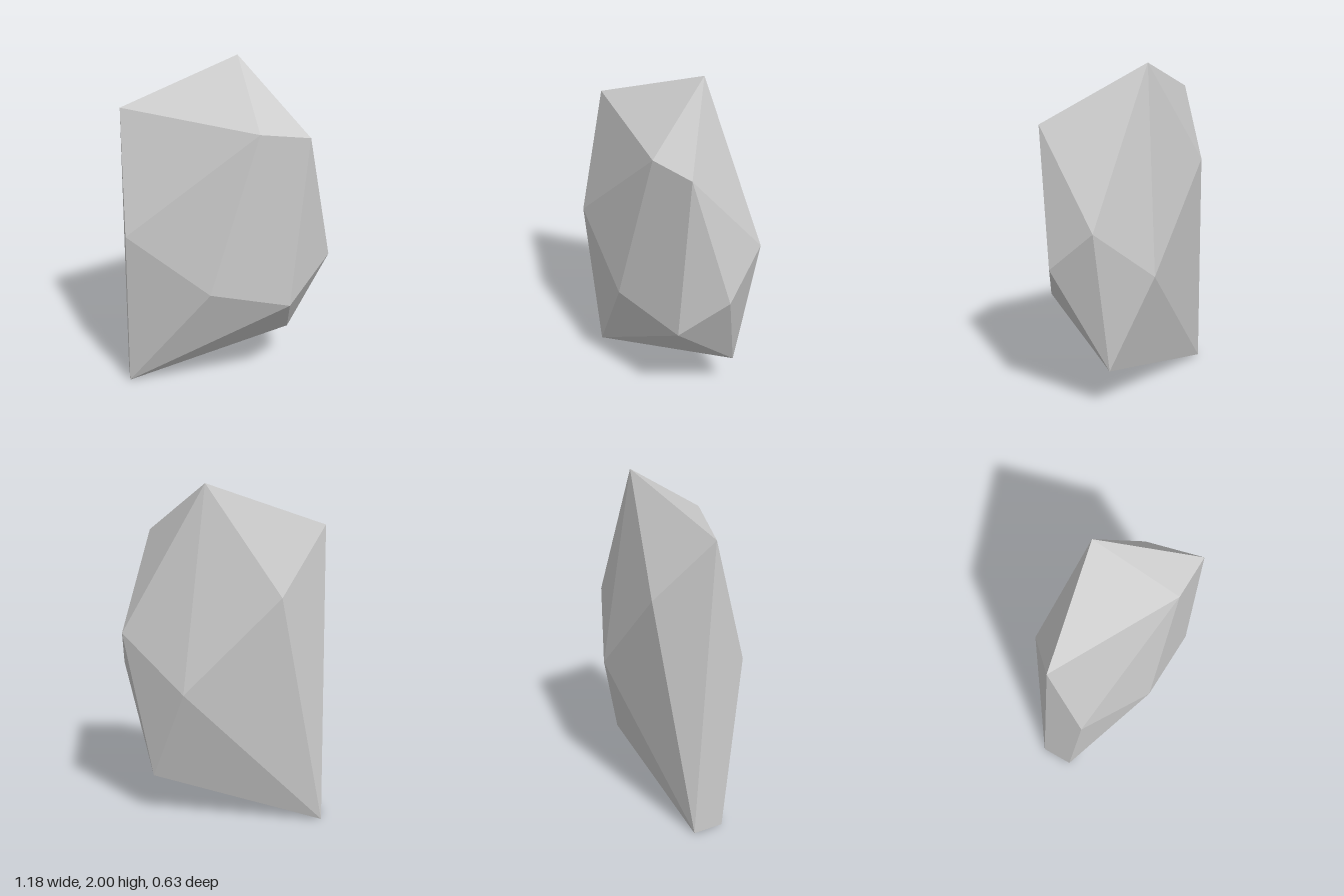
import * as THREE from 'three';
import { ConvexGeometry } from 'three/addons/geometries/ConvexGeometry.js';

// Faceted rock: the convex hull of its corner points
export function createModel() {
  const corners = [
    // peak
    [0.09, 2, -0.19],
    // front face
    [0.435, 1.66, 0.312], [0.153, 1.69, 0.312], [-0.125, 0.72, 0.312], [0.34, 0.625, 0.312],
    // left flank
    [0.59, 0.875, 0.155], [0.575, 1.125, -0.125], [0.403, 0.25, -0.125],
    // flat right side, down to the foot
    [-0.595, 1.75, -0.065], [-0.595, 1.03, 0.122], [-0.595, 0, 0], [-0.595, 0, -0.188],
    // back ridge
    [-0.343, 1.375, -0.314], [0.215, 0.805, -0.314],
  ].map((p) => new THREE.Vector3(...p));

  const rock = new THREE.Mesh(
    new ConvexGeometry(corners),
    new THREE.MeshStandardMaterial({ color: 0xcccccc, flatShading: true }),
  );
  rock.name = 'rock';

  const group = new THREE.Group();
  group.name = 'facetedRock';
  group.add(rock);
  return group;
}
